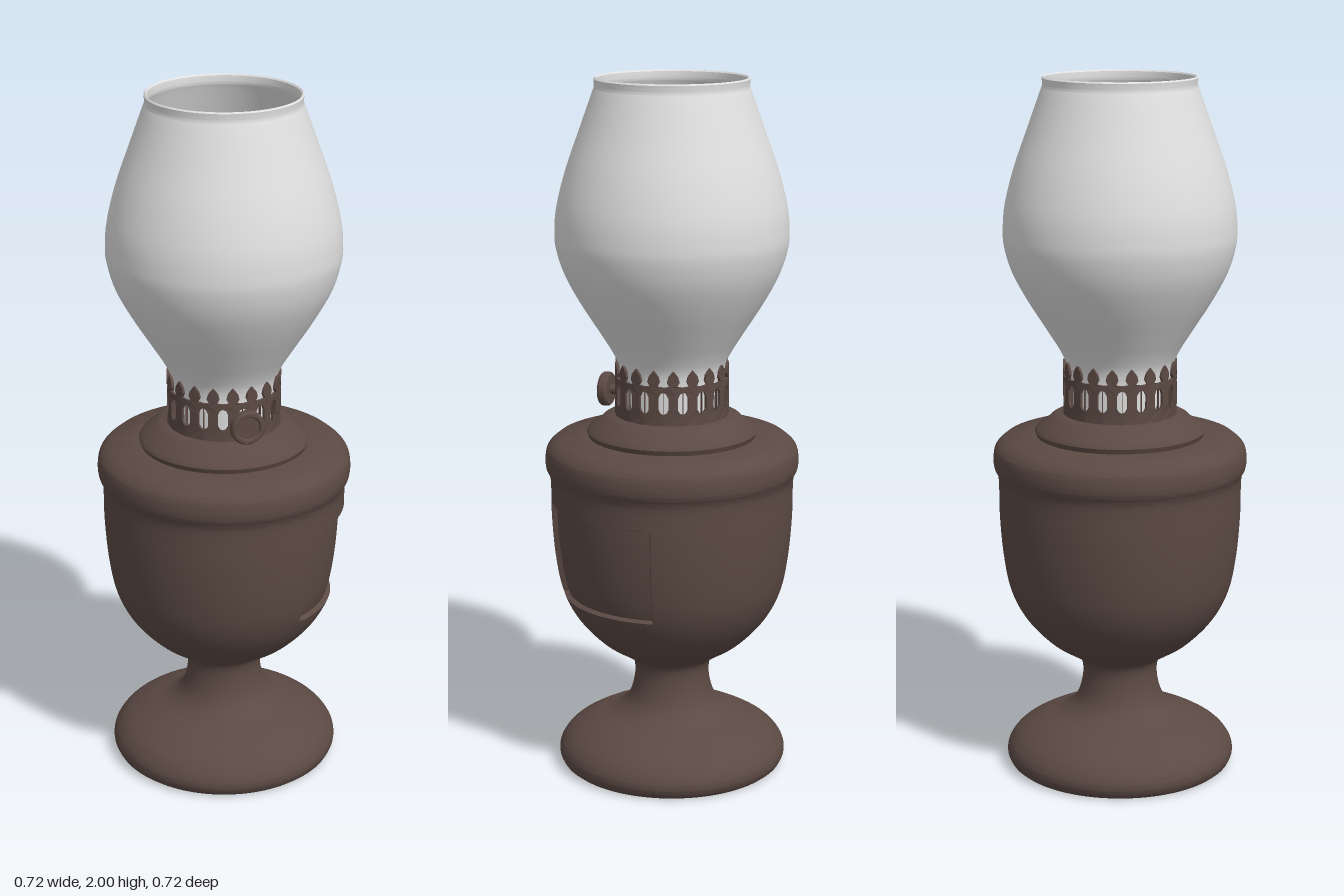
import * as THREE from 'three';
import { toCreasedNormals } from 'three/addons/utils/BufferGeometryUtils.js';

const material = (name, color) => {
  const m = new THREE.MeshStandardMaterial({ color });
  m.name = name;
  return m;
};
const vecs = (pts) => pts.map(([x, y]) => new THREE.Vector2(x, y));
const smooth = (pts, n) => new THREE.SplineCurve(vecs(pts)).getPoints(n);

export function createModel() {
  const lamp = new THREE.Group();
  lamp.name = 'oilLamp';
  const bronze = material('dark bronze', 0x5c4a44);
  const glass = material('pale glass', 0xe0e0e0);
  glass.side = THREE.DoubleSide;
  const red = material('red burner plate', 0xd94a40);
  const brass = material('brass', 0xb08a50);

  const add = (name, geometry, mat, parent = lamp) => {
    const mesh = new THREE.Mesh(geometry, mat);
    mesh.name = name;
    parent.add(mesh);
    return mesh;
  };
  const turned = (pts, segments = 48) =>
    toCreasedNormals(new THREE.LatheGeometry(pts, segments), 0.6);

  // Foot, neck and bowl in one turned profile
  const curve = smooth([
    [0.322, 0.008], [0.331, 0.03], [0.325, 0.06], [0.295, 0.095], [0.235, 0.13],
    [0.165, 0.16], [0.125, 0.2], [0.108, 0.265], [0.115, 0.315], [0.15, 0.34],
    [0.21, 0.38], [0.275, 0.45], [0.316, 0.53], [0.336, 0.63], [0.346, 0.75],
    [0.348, 0.86], [0.36, 0.895], [0.362, 0.925], [0.355, 0.955], [0.33, 0.978],
  ], 90);
  const radiusAt = (y) => {
    const i = Math.max(1, curve.findIndex((p) => p.y >= y));
    const a = curve[i - 1], b = curve[i];
    return THREE.MathUtils.lerp(a.x, b.x, (y - a.y) / (b.y - a.y));
  };
  const low = 0.52, high = 0.8, wall = 0.006;
  const rows = [low, low + wall, high - wall, high]
    .map((y) => new THREE.Vector2(radiusAt(y), y));
  const bowlProfile = [
    ...vecs([[0, 0], [0.312, 0]]),
    ...[...curve, ...rows].sort((a, b) => a.y - b.y),
    ...vecs([[0.24, 0.986], [0, 0.988]]),
  ];

  // Sink a curved rectangular panel into one side of the bowl
  const segments = 120, first = 28, last = 53, depth = 0.016;
  const body = new THREE.LatheGeometry(bowlProfile, segments);
  const pos = body.attributes.position;
  const count = bowlProfile.length;
  for (let i = 0; i < pos.count; i++) {
    const column = Math.floor(i / count), y = pos.getY(i);
    if (column <= first || column >= last || y < low + wall / 2 || y > high - wall / 2) continue;
    let step = column;
    if (column === first + 1) step = first + 0.3;
    if (column === last - 1) step = last - 0.3;
    const phi = (step / segments) * Math.PI * 2;
    const r = Math.hypot(pos.getX(i), pos.getZ(i)) - depth;
    pos.setXYZ(i, r * Math.sin(phi), y, r * Math.cos(phi));
  }
  add('bowlAndFoot', toCreasedNormals(body, 0.6), bronze);

  // Stepped collar on top of the bowl
  add('collar', turned(vecs([
    [0.2, 0.98], [0.238, 0.986], [0.243, 1.0], [0.236, 1.012], [0.212, 1.026],
    [0.195, 1.042], [0.18, 1.05], [0, 1.052],
  ])), bronze);

  // Gallery: one pierced, pointed tile bent round and repeated
  const teeth = 18, outer = 0.162, half = (outer * Math.PI) / teeth;
  const tile = new THREE.Shape(vecs([
    [-half, 1.045], [0, 1.045], [half, 1.045], [half, 1.16], [0.011, 1.162], [0.018, 1.175],
    [0.014, 1.19], [0, 1.207], [-0.014, 1.19], [-0.018, 1.175], [-0.011, 1.162], [-half, 1.16],
  ]));
  // Windows sit between the teeth, so each tile carries two half windows
  for (const s of [-1, 1]) {
    const e = half - 0.0005;
    tile.holes.push(new THREE.Path(vecs([
      [s * e, 1.082], [s * (e - 0.008), 1.085], [s * (e - 0.014), 1.095],
      [s * (e - 0.014), 1.13], [s * (e - 0.008), 1.142], [s * e, 1.146],
    ])));
  }
  const tileGeometry = new THREE.ExtrudeGeometry(tile, { depth: 0.008, bevelEnabled: false });
  const tp = tileGeometry.attributes.position;
  for (let i = 0; i < tp.count; i++) {
    const angle = tp.getX(i) / outer, r = outer - 0.008 + tp.getZ(i);
    tp.setXYZ(i, r * Math.sin(angle), tp.getY(i), r * Math.cos(angle));
  }
  tileGeometry.computeVertexNormals();
  const gallery = new THREE.Group();
  gallery.name = 'gallery';
  lamp.add(gallery);
  for (let i = 0; i < teeth; i++) {
    add('galleryTooth', tileGeometry, bronze, gallery).rotation.y =
      ((i + 0.5) / teeth) * Math.PI * 2;
  }

  // Glass chimney with a thin rolled rim
  const chimney = smooth([
    [0.146, 1.053], [0.147, 1.12], [0.15, 1.185], [0.168, 1.23], [0.205, 1.29],
    [0.262, 1.38], [0.304, 1.46], [0.325, 1.53], [0.328, 1.58], [0.321, 1.65],
    [0.295, 1.75], [0.256, 1.86], [0.222, 1.955], [0.215, 1.975], [0.216, 1.996],
  ], 56);
  const inside = chimney.map((p) => new THREE.Vector2(p.x - 0.008, p.y)).reverse();
  add('chimney', turned([...chimney, new THREE.Vector2(0.212, 2), ...inside]), glass);

  // Burner plate and wick cone inside the chimney
  add('burnerPlate', new THREE.CylinderGeometry(0.146, 0.146, 0.012, 48), red)
    .position.y = 1.062;
  add('wickCone', new THREE.ConeGeometry(0.027, 0.05, 24), brass).position.y = 1.092;

  // Wick knob on a short stem, pointing out of the gallery
  const knob = new THREE.Group();
  knob.name = 'wickKnob';
  knob.position.y = 1.105;
  knob.rotation.y = -Math.PI / 6;
  lamp.add(knob);
  const stem = add('knobStem', new THREE.CylinderGeometry(0.014, 0.014, 0.05, 16), bronze, knob);
  stem.rotation.z = -Math.PI / 2;
  stem.position.x = 0.17;
  const dial = add('knobDial', turned(vecs([
    [0, 0], [0.044, 0], [0.049, 0.006], [0.049, 0.022], [0.044, 0.028],
    [0.036, 0.028], [0.032, 0.022], [0, 0.022],
  ]), 28), bronze, knob);
  dial.rotation.z = -Math.PI / 2;
  dial.position.x = 0.184;

  return lamp;
}
